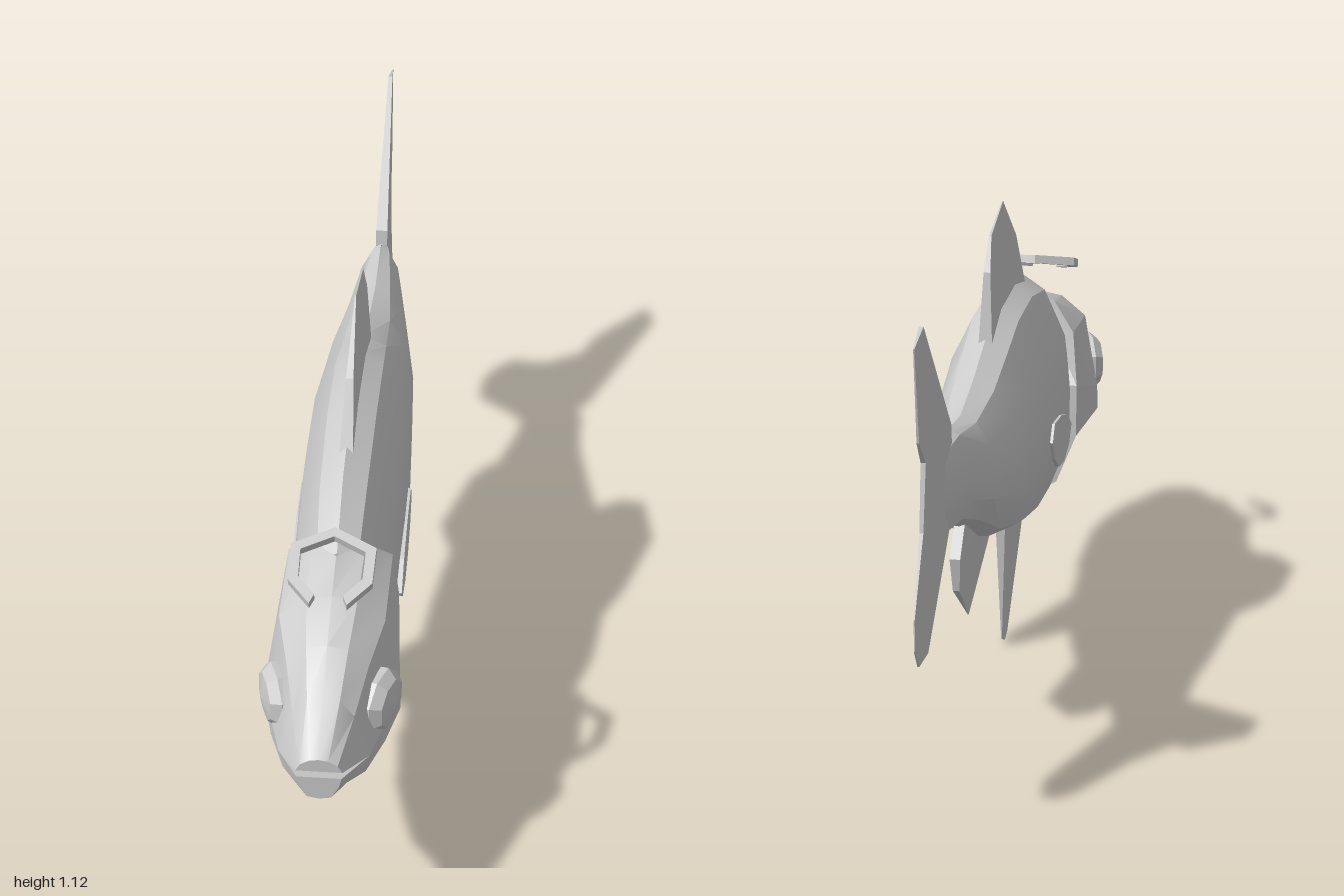
import * as THREE from 'three';
import { toCreasedNormals } from 'three/addons/utils/BufferGeometryUtils.js';

const grey = new THREE.MeshStandardMaterial({ color: 0xcccccc, side: THREE.DoubleSide });

function addMesh(parent, name, geometry) {
  const mesh = new THREE.Mesh(geometry, grey);
  mesh.name = name;
  parent.add(mesh);
  return mesh;
}

// Skin closed, mirrored rings; each section is a half outline from top to bottom, back to front
function loft(sections, crease) {
  const rings = sections.map((half) => [
    ...half,
    ...half.filter((p) => p[0] > 0).reverse().map(([x, y, z]) => [-x, y, z]),
  ]);
  const n = rings[0].length;
  const index = [];
  for (let i = 0; i < rings.length - 1; i++) {
    for (let j = 0; j < n; j++) {
      const k = (j + 1) % n;
      const a = i * n + j, b = i * n + k, c = a + n, d = b + n;
      index.push(a, c, b, b, c, d);
    }
  }
  const last = (rings.length - 1) * n;
  for (let j = 1; j < n - 1; j++) {
    index.push(0, j, j + 1, last, last + j + 1, last + j);
  }
  const geo = new THREE.BufferGeometry();
  geo.setAttribute('position', new THREE.Float32BufferAttribute(rings.flat(2), 3));
  geo.setIndex(index);
  return toCreasedNormals(geo, crease);
}

// Thin blade from a [z, y] outline; thickness(z, y) gives the half width
function fin(outline, thickness) {
  const shape = new THREE.Shape(outline.map(([z, y]) => new THREE.Vector2(z, y)));
  const geo = new THREE.ExtrudeGeometry(shape, { depth: 2, bevelEnabled: false });
  geo.translate(0, 0, -1).rotateY(-Math.PI / 2);
  const p = geo.attributes.position;
  for (let i = 0; i < p.count; i++) p.setX(i, p.getX(i) * thickness(p.getZ(i), p.getY(i)));
  geo.computeVertexNormals();
  return geo;
}

const taper = (v, from, to, w) => w * THREE.MathUtils.clamp((to - v) / (to - from), 0.08, 1);

export function createModel() {
  const fish = new THREE.Group();
  fish.name = 'fish';

  // Body: [z, half width, top, bottom]
  const outline = [[0, 1], [0.45, 0.94], [0.85, 0.76], [1, 0.5], [0.98, 0.27], [0.58, 0.07], [0, 0]];
  const body = [
    [-0.73, 0.006, 0.75, 0.57], [-0.6, 0.052, 0.785, 0.565], [-0.46, 0.078, 0.77, 0.51],
    [-0.3, 0.105, 0.8, 0.425], [-0.13, 0.115, 0.85, 0.365], [0, 0.122, 0.89, 0.33],
    [0.2, 0.122, 0.895, 0.285], [0.42, 0.115, 0.85, 0.262], [0.57, 0.1, 0.757, 0.3],
  ].map(([z, w, top, bottom]) => outline.map(([x, y]) => [x * w, bottom + y * (top - bottom), z]));
  addMesh(fish, 'body', loft(body, 0.5));

  // Head: half sections from the gill edge to the snout
  const at = (z, points) => points.map(([x, y]) => [x, y, z]);
  const head = [
    [[0, 0.765, 0.59], [0.06, 0.755, 0.53], [0.115, 0.69, 0.48], [0.128, 0.56, 0.455],
      [0.128, 0.43, 0.45], [0.076, 0.3, 0.47], [0, 0.255, 0.48]],
    at(0.69, [[0, 0.735], [0.055, 0.725], [0.115, 0.675], [0.148, 0.49], [0.15, 0.43], [0.075, 0.33], [0, 0.305]]),
    at(0.8, [[0, 0.69], [0.045, 0.68], [0.088, 0.635], [0.125, 0.48], [0.125, 0.43], [0.065, 0.355], [0, 0.335]]),
    at(0.89, [[0, 0.62], [0.035, 0.615], [0.066, 0.575], [0.098, 0.465], [0.09, 0.42], [0.05, 0.385], [0, 0.375]]),
  ];
  const snout = at(1, [[0, 0.545], [0.02, 0.542], [0.04, 0.53], [0.05, 0.512]]);
  const lip = at(1, [[0.048, 0.495], [0.042, 0.47], [0.026, 0.44], [0, 0.435]]);
  addMesh(fish, 'upperHead', loft([...head.map((s) => s.slice(0, 4)), snout], 0.4));
  addMesh(fish, 'lowerJaw', loft([...head.map((s) => s.slice(3)), lip], 0.4));

  // Eyes and side fins, mirrored
  const dome = [[0.072, -0.03], [0.076, 0], [0.056, 0.022], [0, 0.032]].map(([r, h]) => new THREE.Vector2(r, h));
  const eyeShape = toCreasedNormals(new THREE.LatheGeometry(dome, 8, Math.PI / 8), 0.2);
  const sideFinOutline = [[0.37, 0.49], [0.3, 0.535], [0.2, 0.565], [0.09, 0.578], [0.06, 0.54],
    [0.1, 0.485], [0.17, 0.445], [0.25, 0.432], [0.33, 0.45]];
  for (const [side, s] of [['left', 1], ['right', -1]]) {
    const eye = addMesh(fish, side + 'Eye', eyeShape);
    eye.position.set(s * 0.117, 0.528, 0.782);
    eye.rotation.set(0, -s * 0.35, -s * Math.PI / 2);
    const sideFin = addMesh(fish, side + 'SideFin', fin(sideFinOutline, () => 0.006));
    sideFin.position.x = s * 0.122;
  }

  // Fins along the middle
  addMesh(fish, 'dorsalFin', fin([[0.35, 0.84], [0.25, 0.995], [0.1, 1.115], [-0.07, 1.075],
    [-0.115, 1], [-0.14, 0.83]], (z, y) => taper(y, 0.88, 1.115, 0.016)));
  addMesh(fish, 'bellyFin', fin([[0.36, 0.28], [0.17, 0.01], [0.135, 0], [0.09, 0.02], [0.07, 0.34]],
    (z, y) => taper(-y, -0.25, 0, 0.012)));
  addMesh(fish, 'rearBellyFin', fin([[-0.12, 0.37], [-0.3, 0.29], [-0.37, 0.265], [-0.52, 0.38],
    [-0.535, 0.46], [-0.47, 0.53], [-0.3, 0.45]], (z, y) => taper(-y, -0.45, -0.26, 0.012)));
  addMesh(fish, 'tailFin', fin([[-0.64, 0.77], [-0.645, 0.81], [-0.9, 1.1], [-0.98, 1.075], [-0.945, 0.865],
    [-0.89, 0.805], [-0.915, 0.66], [-1, 0.5], [-1, 0.43], [-0.96, 0.38], [-0.88, 0.38],
    [-0.695, 0.565], [-0.65, 0.6]], (z) => taper(-z, 0.72, 1, 0.014)));

  // Open horseshoe ring floating above the head
  const half = [[0, -0.098], [0.092, -0.05], [0.09, 0.04], [0.04, 0.098]];
  const outer = [...half.slice(1).reverse(), ...half.map(([x, v]) => [-x, v])];
  const inner = outer.map(([x, v]) => [x * 0.76, v * 0.76]).reverse();
  const ringShape = new THREE.Shape([...outer, ...inner].map(([x, v]) => new THREE.Vector2(x, v)));
  const ring = addMesh(fish, 'headRing',
    new THREE.ExtrudeGeometry(ringShape, { depth: 0.02, bevelEnabled: false }).translate(0, 0, -0.01));
  ring.position.set(0, 0.813, 0.69);
  ring.rotation.x = Math.PI / 2 + 0.31;

  return fish;
}
